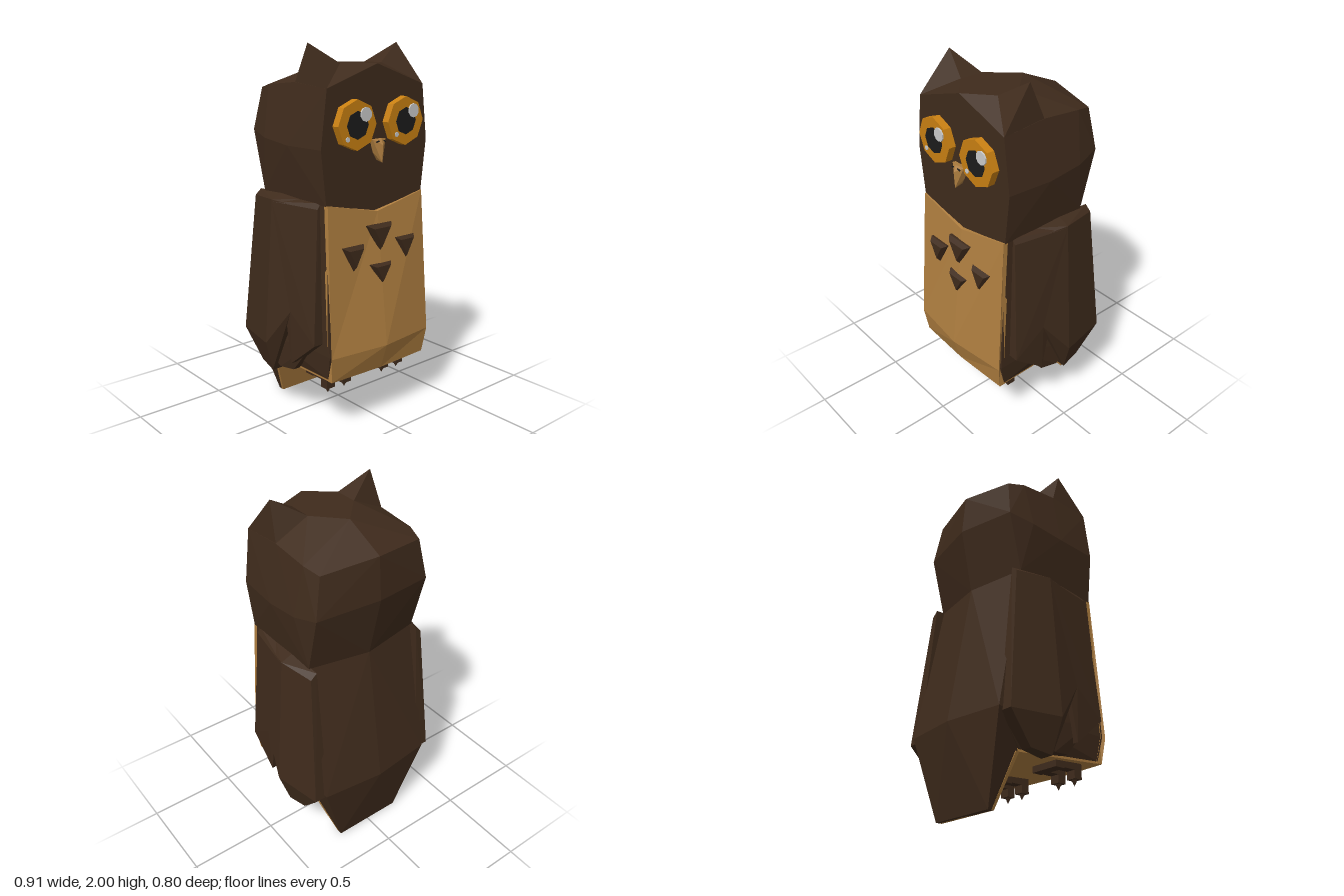
import * as THREE from 'three';
import { ConvexGeometry } from 'three/addons/geometries/ConvexGeometry.js';

const paint = (color) => new THREE.MeshStandardMaterial({ color, flatShading: true });
const brown = paint(0x3f2b1c), tan = paint(0xb07f40), orange = paint(0xc98012);
const black = paint(0x1c1c1c), white = paint(0xcccccc);

function add(parent, name, geometry, material, x = 0, y = 0, z = 0) {
  const mesh = new THREE.Mesh(geometry, material);
  mesh.name = name;
  mesh.position.set(x, y, z);
  parent.add(mesh);
  return mesh;
}

// Faceted solid around a few corner points
const hull = (points) => new ConvexGeometry(points.map((p) => new THREE.Vector3(...p)));
// Adds the mirror image of every corner that is off the centre line
const both = (points) => points.flatMap(([x, y, z]) => (x ? [[x, y, z], [-x, y, z]] : [[x, y, z]]));

// Solid through closed cross-sections, with both ends capped
function loft(rings) {
  const n = rings[0].length, index = [];
  for (let r = 0; r < rings.length - 1; r++) {
    for (let i = 0; i < n; i++) {
      const a = r * n + i, b = r * n + (i + 1) % n;
      index.push(a, b, a + n, b, b + n, a + n);
    }
  }
  const last = (rings.length - 1) * n;
  for (let i = 1; i < n - 1; i++) index.push(0, i + 1, i, last, last + i, last + i + 1);
  const g = new THREE.BufferGeometry();
  g.setAttribute('position', new THREE.Float32BufferAttribute(rings.flat(2), 3));
  g.setIndex(index);
  const flat = g.toNonIndexed();
  flat.computeVertexNormals();
  return flat;
}

// Eight-sided disc facing forward
const disc = (radius, depth, sides = 8) =>
  new THREE.CylinderGeometry(radius, radius, depth, sides).rotateX(Math.PI / 2);

function addBody(owl) {
  add(owl, 'body', hull(both([
    [0.33, 1.23, 0.28], [0.335, 1.23, -0.21], [0, 1.23, -0.27],
    [0.343, 0.44, 0.34], [0, 0.44, 0.37], [0.345, 0.45, -0.36], [0, 0.45, -0.4],
    [0.33, 0.31, 0.31], [0.3, 0.28, -0.2],
  ])), brown);
  add(owl, 'tail', hull(both([
    [0.345, 0.45, -0.36], [0, 0.45, -0.4], [0.3, 0.29, -0.2],
    [0.2, 0, -0.3], [0.2, 0, -0.27],
  ])), brown);
  add(owl, 'tailFront', hull(both([
    [0.298, 0.27, -0.195], [0.2, 0, -0.265], [0.298, 0.27, -0.215], [0.2, 0, -0.28],
  ])), tan);
  add(owl, 'underside', hull(both([
    [0.328, 0.3, 0.34], [0.298, 0.268, -0.2], [0.328, 0.315, 0.32], [0.298, 0.285, -0.21],
  ])), tan);

  // Belly panel, dipping at the middle of its top edge
  const side = (s) => [
    [0.328 * s, 1.225, 0.308], [0.346 * s, 0.44, 0.36], [0.33 * s, 0.3, 0.34],
    [0.33 * s, 0.3, 0.3], [0.346 * s, 0.44, 0.325], [0.328 * s, 1.225, 0.27],
  ];
  const middle = [[0, 1.155, 0.315], [0, 0.44, 0.4], [0, 0.3, 0.355],
    [0, 0.3, 0.3], [0, 0.44, 0.33], [0, 1.155, 0.27]];
  add(owl, 'belly', loft([side(-1), middle, side(1)]), tan);

  // Chest markings: small bevelled triangles pointing down
  for (const [x, y, w, h, z] of [
    [0, 1.09, 0.085, 0.145, 0.358], [-0.18, 1.0, 0.07, 0.13, 0.36],
    [0.18, 1.0, 0.07, 0.13, 0.36], [0, 0.885, 0.075, 0.12, 0.37],
  ]) {
    const k = 0.68, cy = -h / 3;
    add(owl, 'chestMark', hull([[-w, 0], [w, 0], [0, -h]].flatMap(([px, py]) => [
      [px, py, -0.06], [px, py, -0.025], [px * k, cy + (py - cy) * k, 0],
    ])), brown, x, y, z);
  }
}

function addHead(owl) {
  add(owl, 'head', hull(both([
    [0, 1.16, 0.3], [0.33, 1.22, 0.3], [0.335, 1.23, -0.21], [0, 1.22, -0.27],
    [0.362, 1.5, 0.3], [0.378, 1.5, 0.05], [0.374, 1.52, -0.15], [0.342, 1.55, -0.29], [0, 1.57, -0.345],
    [0.325, 1.79, 0.3], [0.325, 1.81, 0.05], [0.325, 1.79, -0.17], [0.3, 1.77, -0.265], [0, 1.8, -0.325],
    [0, 1.9, 0.3], [0.14, 1.9, 0.18], [0.14, 1.9, 0.05], [0, 1.9, -0.1],
  ])), brown);

  for (const s of [-1, 1]) {
    add(owl, 'ear', hull([
      [0.3 * s, 2, 0.125], [0.14 * s, 1.9, 0.18], [0.14 * s, 1.9, 0.05],
      [0.325 * s, 1.79, 0.3], [0.325 * s, 1.8, 0.05],
    ]), brown);

    const eye = new THREE.Group();
    eye.name = 'eye';
    eye.position.set(0.165 * s, 1.61, 0.3);
    add(eye, 'iris', disc(0.125, 0.06), orange, 0, 0, 0.012);
    add(eye, 'pupil', disc(0.07, 0.01), black, 0, 0, 0.04);
    add(eye, 'glint', disc(0.036, 0.012, 10), white, 0.05, 0.05, 0.044);
    add(eye, 'smallGlint', disc(0.013, 0.01), white, -0.065, -0.065, 0.041);
    owl.add(eye);
  }

  add(owl, 'beak', hull(both([
    [0.048, 1.525, 0.29], [0.045, 1.53, 0.32], [0, 1.535, 0.335],
    [0.025, 1.46, 0.3], [0, 1.5, 0.35], [0, 1.41, 0.345], [0, 1.42, 0.3],
  ])), tan);
  for (const s of [-1, 1]) {
    add(owl, 'nostril', new THREE.BoxGeometry(0.018, 0.006, 0.012), black, 0.022 * s, 1.518, 0.332)
      .rotation.z = -0.3 * s;
  }
}

// Wing thickness: a lengthwise ridge that swells toward the lower part
function wingX(z, y) {
  const ridge = y > 0.43
    ? THREE.MathUtils.mapLinear(y, 0.43, 1.23, 0.457, 0.398)
    : THREE.MathUtils.mapLinear(y, 0.25, 0.43, 0.405, 0.457);
  return ridge - 0.055 * Math.min(1, Math.abs(z + 0.06) / 0.28);
}

function addWing(owl, s) {
  const wing = new THREE.Group();
  wing.name = s > 0 ? 'leftWing' : 'rightWing';
  // Each feather layer is an outline in z and y, set in by some depth
  const layers = {
    frontFeather: [0, [[0.25, 1.2], [0.28, 0.5], [0.095, 0.35], [0.1, 0.64], [-0.06, 1.2]]],
    backFeather: [0, [[0.1, 1.2], [0.1, 0.64], [-0.07, 0.43], [-0.08, 0.25], [-0.2, 0.27],
      [-0.338, 0.43], [-0.262, 1.2], [-0.06, 1.21], [-0.06, 0.43]]],
    innerFeather: [0.03, [[0.24, 1.18], [0.22, 0.48], [0.06, 0.29], [-0.04, 0.28], [-0.2, 0.4], [-0.2, 1.18]]],
  };
  for (const [name, [inset, outline]] of Object.entries(layers)) {
    add(wing, name, hull(outline.flatMap(([z, y]) => [
      [0.325 * s, y + (y > 1.1 ? 0.03 : 0), z], [(wingX(z, y) - inset) * s, y, z],
    ])), brown);
  }
  owl.add(wing);
}

function addFoot(owl, s) {
  const foot = new THREE.Group();
  foot.name = s > 0 ? 'leftFoot' : 'rightFoot';
  foot.position.x = 0.197 * s;
  add(foot, 'heel', new THREE.BoxGeometry(0.17, 0.05, 0.06), brown, 0, 0.275, 0.09);
  for (const t of [-0.057, 0.057]) {
    add(foot, 'toe', new THREE.BoxGeometry(0.055, 0.045, 0.17), brown, t, 0.278, 0.155);
    add(foot, 'toeTip', new THREE.BoxGeometry(0.055, 0.075, 0.05), brown, t, 0.25, 0.215);
    add(foot, 'claw', new THREE.ConeGeometry(0.024, 0.04, 4).rotateX(Math.PI), brown, t, 0.2, 0.215);
  }
  owl.add(foot);
}

export function createModel() {
  const owl = new THREE.Group();
  owl.name = 'owl';
  addBody(owl);
  addHead(owl);
  for (const s of [-1, 1]) {
    addWing(owl, s);
    addFoot(owl, s);
  }
  return owl;
}
